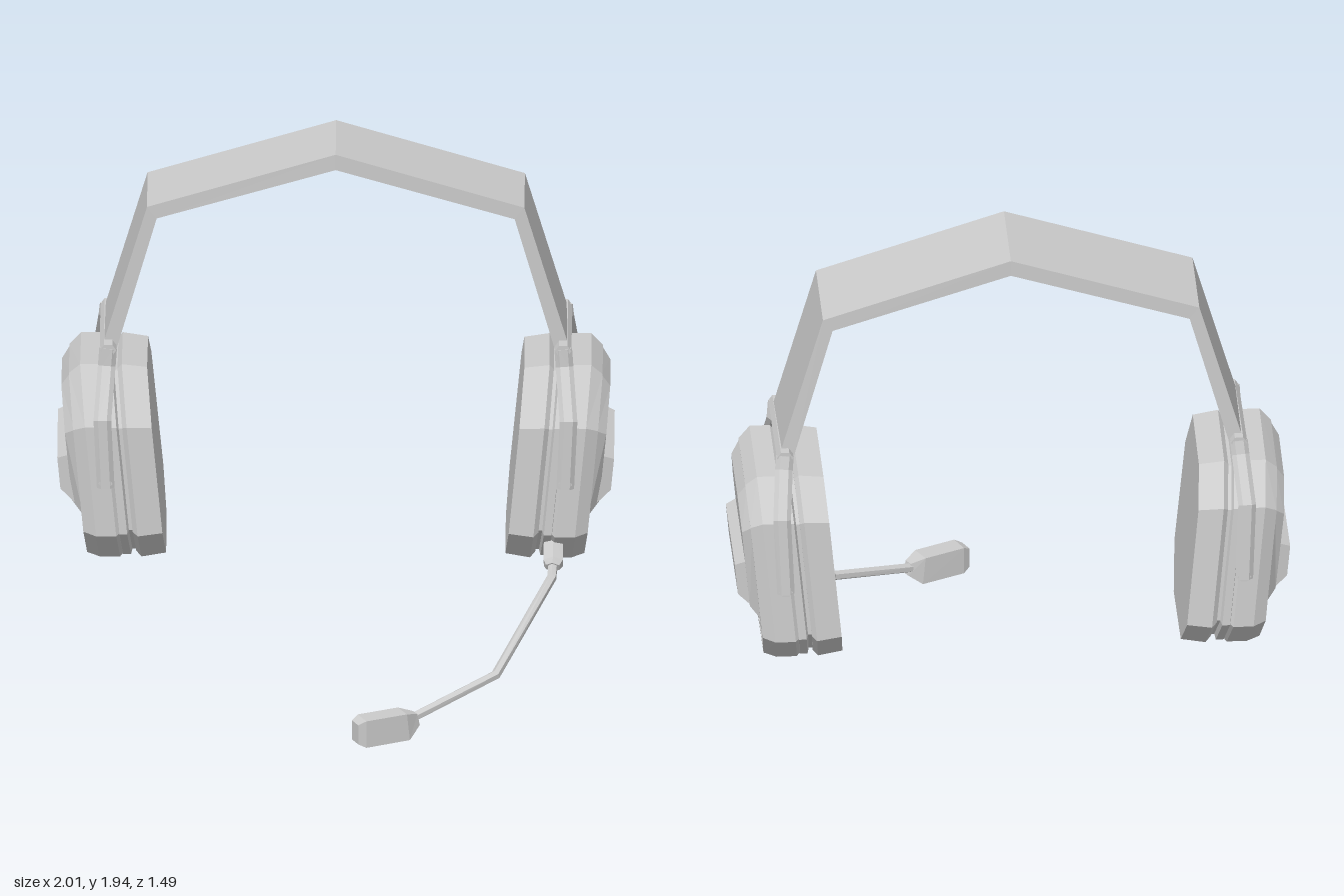
import * as THREE from 'three';

const V = (x, y, z) => new THREE.Vector3(x, y, z);
const material = new THREE.MeshStandardMaterial({ color: 0xcccccc, flatShading: true });

function part(name, geometry, parent) {
  const mesh = new THREE.Mesh(geometry, material);
  mesh.name = name;
  parent.add(mesh);
  return mesh;
}

// Skin over rings of points, each counterclockwise seen from the end
function loft(rings, capStart = true, capEnd = true) {
  const n = rings[0].length;
  const index = [];
  for (let i = 0; i < rings.length - 1; i++) {
    for (let j = 0; j < n; j++) {
      const a = i * n + j, b = i * n + (j + 1) % n;
      index.push(a, b, a + n, b, b + n, a + n);
    }
  }
  const last = (rings.length - 1) * n;
  for (let j = 1; j < n - 1; j++) {
    if (capStart) index.push(0, j + 1, j);
    if (capEnd) index.push(last, last + j, last + j + 1);
  }
  const g = new THREE.BufferGeometry().setFromPoints(rings.flat());
  g.setIndex(index);
  const flat = g.toNonIndexed();
  flat.computeVertexNormals();
  return flat;
}

// Polygonal section carried along a path with sharp bends
function sweep(points, rx, ry, sides, ref, scales = []) {
  return loft(points.map((p, i) => {
    const dir = V(0, 0, 0);
    if (i > 0) dir.add(p.clone().sub(points[i - 1]).normalize());
    if (i < points.length - 1) dir.add(points[i + 1].clone().sub(p).normalize());
    dir.normalize();
    const a = ref.clone().cross(dir).normalize();
    const b = dir.clone().cross(a);
    const k = scales[i] ?? 1;
    return Array.from({ length: sides }, (_, j) => {
      const t = (j + 0.5) / sides * Math.PI * 2;
      return p.clone().addScaledVector(a, rx * k * Math.cos(t)).addScaledVector(b, ry * k * Math.sin(t));
    });
  }));
}

// Ear cup outlines use s = -z and y; u is the depth outward, leaning with height
const OUTLINE = [[0.19, 0.36], [0.56, 0.36], [0.71, 0.50], [0.68, 0.97],
  [0.54, 1.09], [0.19, 1.11], [0.05, 0.92], [0.04, 0.50]];
const CS = 0.375, CY = 0.735;
const place = (pts, u) => pts.map(([s, y]) => V(u + 0.095 * (y - 0.73), y, -s));
const outline = (side, top = side, bottom = side) => OUTLINE.map(([s, y]) =>
  [CS + (s - CS) * side, CY + (y - CY) * (y > CY ? top : bottom)]);
const shrink = (pts, k) => {
  const cs = pts.reduce((t, p) => t + p[0], 0) / pts.length;
  const cy = pts.reduce((t, p) => t + p[1], 0) / pts.length;
  return pts.map(([s, y]) => [cs + (s - cs) * k, cy + (y - cy) * k]);
};
const rect = (s0, s1, y0, y1) => [[s0, y0], [s1, y0], [s1, y1], [s0, y1]];
const layers = list => list.map(([u, k]) => place(outline(k), u));

function earCup() {
  const cup = new THREE.Group();

  // Cushion, then the grooved rim behind it
  part('earCushion', loft(layers([[0.645, 0.965], [0.735, 1], [0.752, 0.95]])), cup);
  part('cupRim', loft(layers([[0.745, 0.93], [0.765, 0.93], [0.772, 0.98], [0.80, 0.98], [0.804, 0.96]])), cup);

  // Shell with a chamfer that is widest at the top
  const face = outline(0.92, 0.89, 0.97);
  part('cupShell', loft([place(outline(0.97), 0.80), place(outline(1), 0.812),
    place(outline(1), 0.885), place(face, 0.93)], true, false), cup);

  // Lower face with a recessed button panel
  const recess = [[0.20, 0.395], [0.555, 0.395], [0.61, 0.45], [0.61, 0.49],
    [0.565, 0.54], [0.19, 0.54], [0.145, 0.49], [0.145, 0.45]];
  const toV2 = pts => pts.map(p => new THREE.Vector2(...p));
  const shape = new THREE.Shape(toV2(face));
  shape.holes.push(new THREE.Path(toV2(recess)));
  const faceGeometry = new THREE.ShapeGeometry(shape);
  const pos = faceGeometry.attributes.position;
  for (let i = 0; i < pos.count; i++) {
    const [p] = place([[pos.getX(i), pos.getY(i)]], 0.93);
    pos.setXYZ(i, p.x, p.y, p.z);
  }
  faceGeometry.computeVertexNormals();
  part('cupFace', faceGeometry, cup);
  part('buttonRecess', loft([place(recess, 0.93), place(shrink(recess, 0.93), 0.908)], false, true), cup);

  // Buttons
  const buttons = [
    [[0.235, 0.445], [0.30, 0.425], [0.30, 0.495], [0.235, 0.475]],
    [[0.345, 0.43], [0.372, 0.415], [0.40, 0.43], [0.40, 0.49], [0.372, 0.505], [0.345, 0.49]],
    [[0.445, 0.425], [0.51, 0.445], [0.51, 0.475], [0.445, 0.495]],
  ];
  for (const b of buttons) {
    part('button', loft([place(b, 0.90), place(b, 0.92), place(shrink(b, 0.85), 0.93)]), cup);
  }

  // Raised upper plate: follows the shell above, ends in a ledge below
  const plate = (k, top, s0, s1, y0) => [[s0, y0], [s1, y0],
    ...outline(k, top).slice(3, 7)];
  part('upperPlate', loft([place(plate(0.92, 0.89, 0.085, 0.66, 0.565), 0.925),
    place(plate(0.82, 0.75, 0.14, 0.61, 0.60), 0.962)]), cup);

  // Grip bar across the plate
  part('gripBar', loft([place(rect(0.125, 0.61, 0.595, 0.785), 0.95),
    place(rect(0.14, 0.60, 0.645, 0.765), 1.0)]), cup);

  // Fork: top bar, two bent prongs and pivot pegs
  const X = V(1, 0, 0);
  part('forkBar', sweep([V(0.82, 1.185, -0.14), V(0.82, 1.185, -0.58)], 0.024, 0.03, 6, X), cup);
  const prongs = [
    [[1.19, -0.152], [1.12, -0.15], [0.96, -0.018], [0.70, -0.018]],
    [[1.19, -0.57], [1.14, -0.585], [1.00, -0.71], [0.71, -0.73]],
  ];
  const xs = [0.82, 0.825, 0.84, 0.828];
  prongs.forEach((prong, i) => {
    part('forkProng', sweep(prong.map(([y, z], j) => V(xs[j], y, z)), 0.017, 0.032, 6, X), cup);
    const z = i ? -0.74 : -0.005;
    part('pivotPeg', sweep([V(0.828, 0.72, z), V(0.828, 0.72, i ? -0.67 : -0.07)], 0.02, 0.025, 6, X), cup);
  });
  return cup;
}

export function createModel() {
  const model = new THREE.Group();
  model.name = 'headset';

  // Angular headband: x and y outside, x and y inside, front z
  const half = [[0.84, 1.185, 0.79, 1.17, -0.19], [0.68, 1.73, 0.645, 1.685, -0.175]];
  const stations = [
    ...half.map(([a, b, c, d, z]) => [-a, b, -c, d, z]),
    [0, 1.94, 0, 1.88, -0.163],
    ...half.slice().reverse(),
  ];
  part('headband', loft(stations.map(([ox, oy, ix, iy, z]) => [
    V(ix, iy, z), V(ix, iy - 0.012, z - 0.355), V(ox, oy - 0.012, z - 0.355), V(ox, oy, z),
  ])), model);

  // Mirrored ear cups
  for (const side of [1, -1]) {
    const cup = earCup();
    cup.name = side > 0 ? 'leftEarCup' : 'rightEarCup';
    cup.scale.x = side;
    model.add(cup);
  }

  // Microphone boom on the left cup
  const mic = new THREE.Group();
  mic.name = 'microphone';
  model.add(mic);
  const Y = V(0, 1, 0);
  part('boomSocket', sweep([V(0.785, 0.455, -0.13), V(0.785, 0.405, -0.03), V(0.783, 0.395, -0.012)],
    0.04, 0.036, 6, Y, [1, 1, 0.7]), mic);
  part('boomArm', sweep([V(0.785, 0.41, -0.04), V(0.78, 0.375, 0.035), V(0.58, 0.152, 0.415),
    V(0.27, 0.063, 0.62)], 0.018, 0.018, 6, Y), mic);
  part('microphoneHead', sweep([V(0.295, 0.065, 0.612), V(0.25, 0.053, 0.638),
    V(0.10, 0.053, 0.708), V(0.075, 0.053, 0.72)], 0.052, 0.073, 4, Y, [0.45, 1, 1, 0.72]), mic);

  return model;
}
